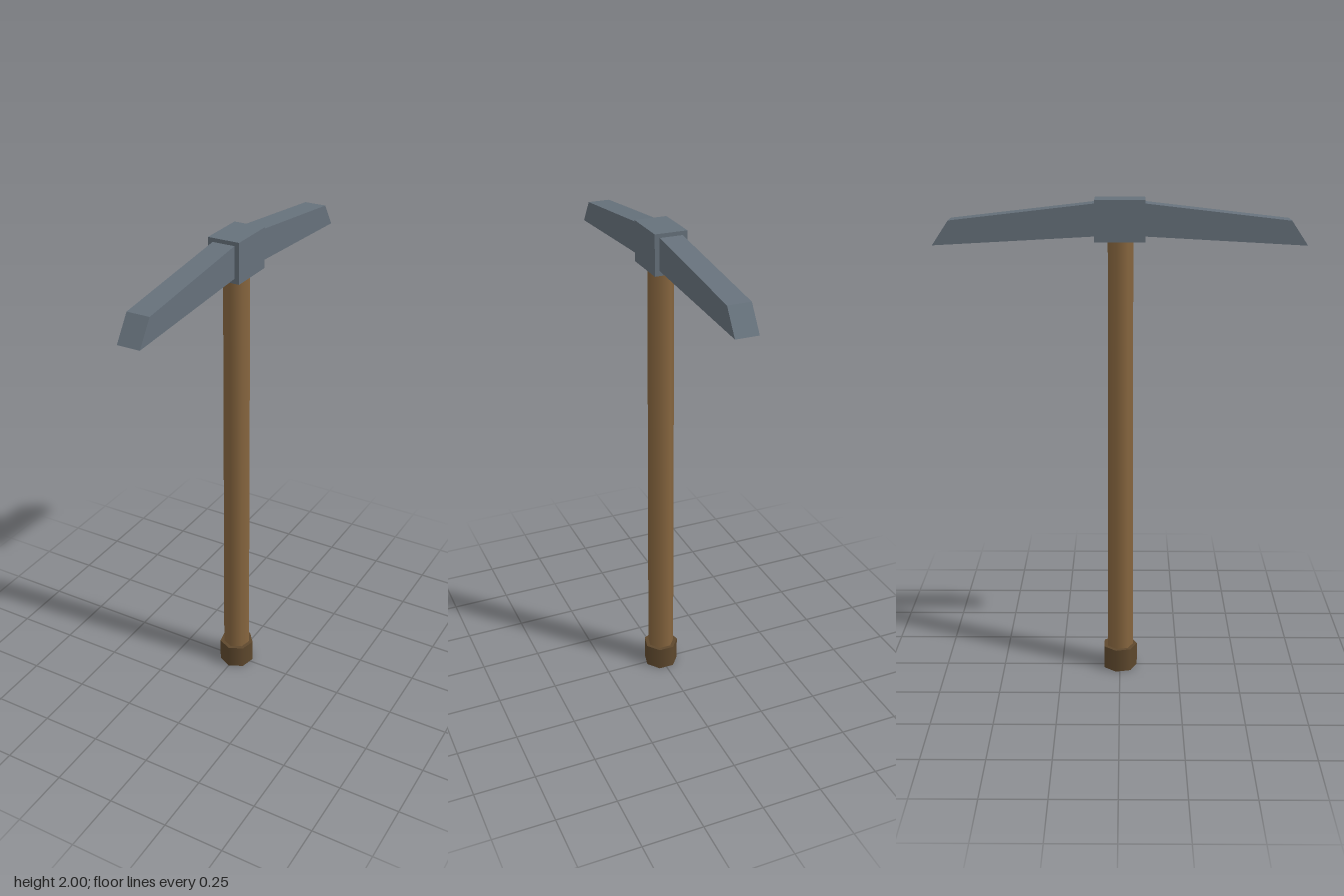
import * as THREE from 'three';

const steel = new THREE.MeshStandardMaterial({ color: 0x66717b });
steel.name = 'steel';
const wood = new THREE.MeshStandardMaterial({ color: 0x87663f });
wood.name = 'wood';
const darkWood = new THREE.MeshStandardMaterial({ color: 0x5e482d });
darkWood.name = 'darkWood';

export function createModel() {
  const model = new THREE.Group();
  model.name = 'pickaxe';

  function add(name, geometry, material, y = 0) {
    const mesh = new THREE.Mesh(geometry, material);
    mesh.name = name;
    mesh.position.y = y;
    model.add(mesh);
    return mesh;
  }

  // Seven-sided shaft, slightly tapered, with a wider cap at the foot
  add('handle', new THREE.CylinderGeometry(0.052, 0.057, 1.82, 7), wood, 0.95);
  add('endCap', new THREE.CylinderGeometry(0.0735, 0.0735, 0.1, 7), darkWood, 0.05);

  // Square socket around the top of the shaft
  add('headSocket', new THREE.BoxGeometry(0.13, 0.16, 0.196), steel, 1.92);

  // Tapered pick arms, side profile extruded across the width
  const width = 0.091;
  for (const [name, side] of [['frontArm', 1], ['backArm', -1]]) {
    const profile = new THREE.Shape([
      [0.05, 1.862], [0.725, 1.825], [0.66, 1.92], [0.05, 1.99],
    ].map(([z, y]) => new THREE.Vector2(z, y)));
    const arm = new THREE.ExtrudeGeometry(profile, { depth: width, bevelEnabled: false });
    arm.translate(0, 0, -width / 2);
    arm.rotateY(-side * Math.PI / 2);
    add(name, arm, steel);
  }

  return model;
}
